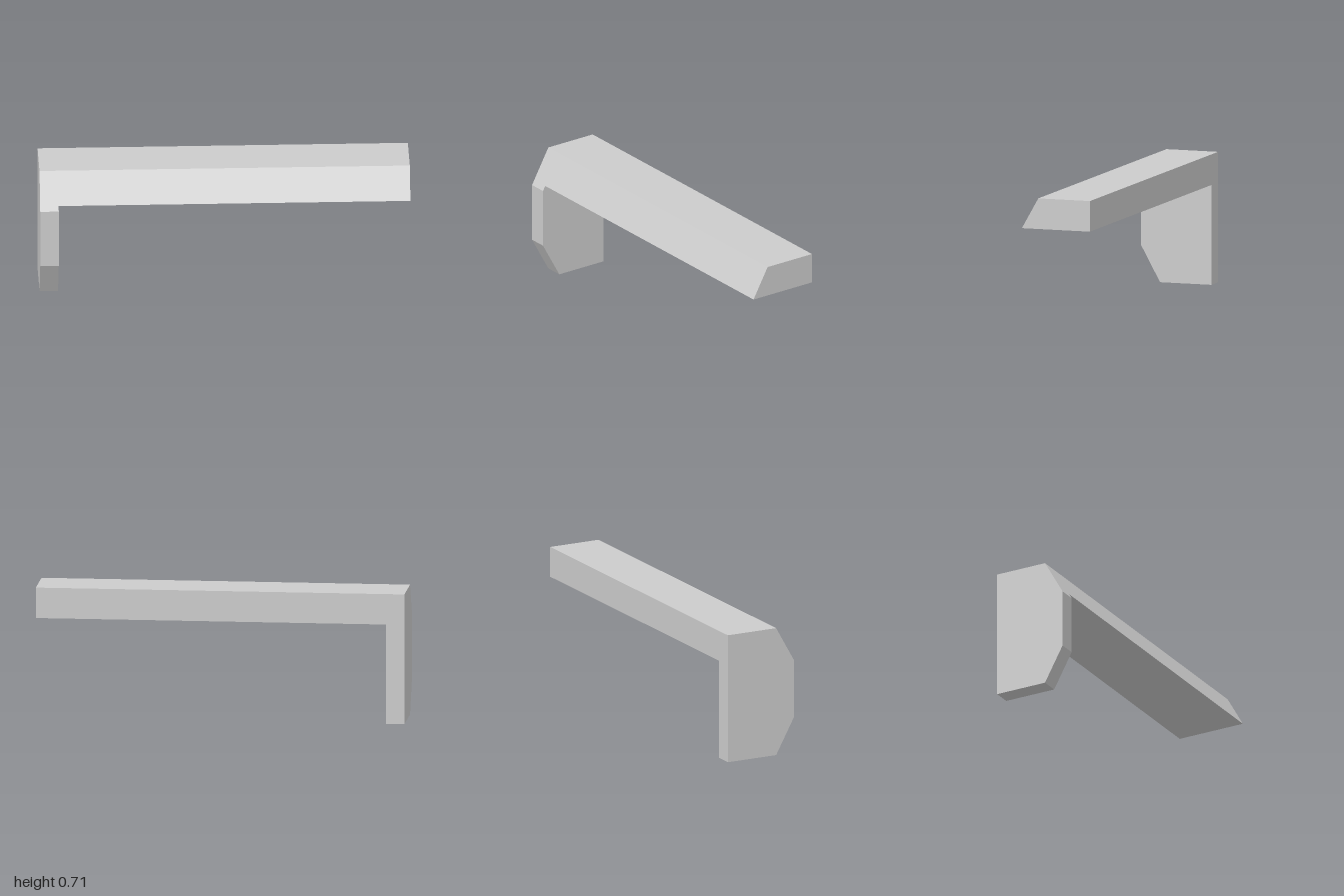
import * as THREE from 'three';

const paleGrey = new THREE.MeshStandardMaterial({ color: 0xcccccc });
paleGrey.name = 'pale grey';

// Extrudes a [z, y] outline along x, from x0 to x1.
function profile(name, points, x0, x1) {
  const shape = new THREE.Shape(points.map(([z, y]) => new THREE.Vector2(z, y)));
  const geometry = new THREE.ExtrudeGeometry(shape, { depth: x1 - x0, bevelEnabled: false });
  geometry.rotateY(-Math.PI / 2);
  geometry.translate(x1, 0, 0);
  const mesh = new THREE.Mesh(geometry, paleGrey);
  mesh.name = name;
  return mesh;
}

export function createModel() {
  const group = new THREE.Group();
  group.name = 'cornerBracket';

  const back = -0.203, front = 0.203, chamfer = 0.094;
  const top = 0.712, under = 0.545, inner = -0.9;
  const slopeLow = 0.519, slopeBottom = 0.197;

  // Depth of the sloped front face at the underside of the beam
  const underFront = front - (front - chamfer) * (under - slopeLow) / (top - slopeLow);

  // Upright end plate with both front corners cut away
  group.add(profile('endLeg', [
    [back, 0], [chamfer, 0], [front, slopeBottom],
    [front, slopeLow], [chamfer, top], [back, top],
  ], -1, inner));

  // Long beam carrying on the upper slope of the leg
  group.add(profile('beam', [
    [back, under], [underFront, under], [chamfer, top], [back, top],
  ], inner, 1));

  return group;
}
